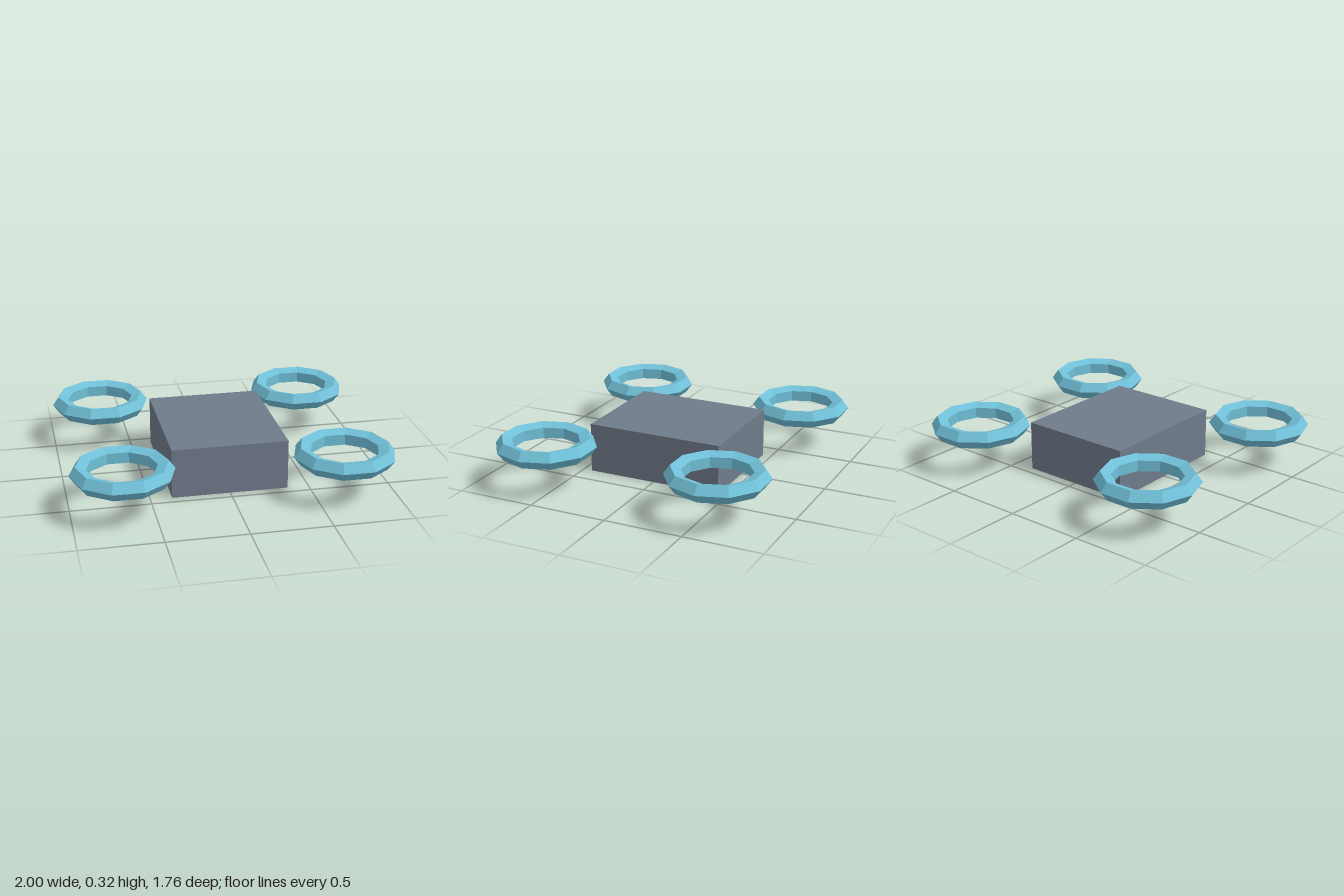
import * as THREE from 'three';

export function createModel() {
  const model = new THREE.Group();
  const slate = new THREE.MeshStandardMaterial({ color: 0x707b8a, flatShading: true });
  slate.name = 'slate grey';
  const sky = new THREE.MeshStandardMaterial({ color: 0x70c0d8, flatShading: true });
  sky.name = 'sky blue';

  // Central body
  const body = new THREE.Mesh(new THREE.BoxGeometry(0.73, 0.316, 0.884), slate);
  body.name = 'body';
  body.position.y = 0.158;
  model.add(body);

  // Four flat-lying rotor rings, ten-sided with a five-sided section
  const ringGeometry = new THREE.TorusGeometry(0.26, 0.058, 5, 10).rotateX(-Math.PI / 2);
  for (const [endName, z] of [['front', 0.577], ['back', -0.577]]) {
    for (const [sideName, x] of [['Left', 0.682], ['Right', -0.682]]) {
      const ring = new THREE.Mesh(ringGeometry, sky);
      ring.name = `${endName}${sideName}RotorRing`;
      ring.position.set(x, 0.264, z);
      model.add(ring);
    }
  }
  return model;
}
